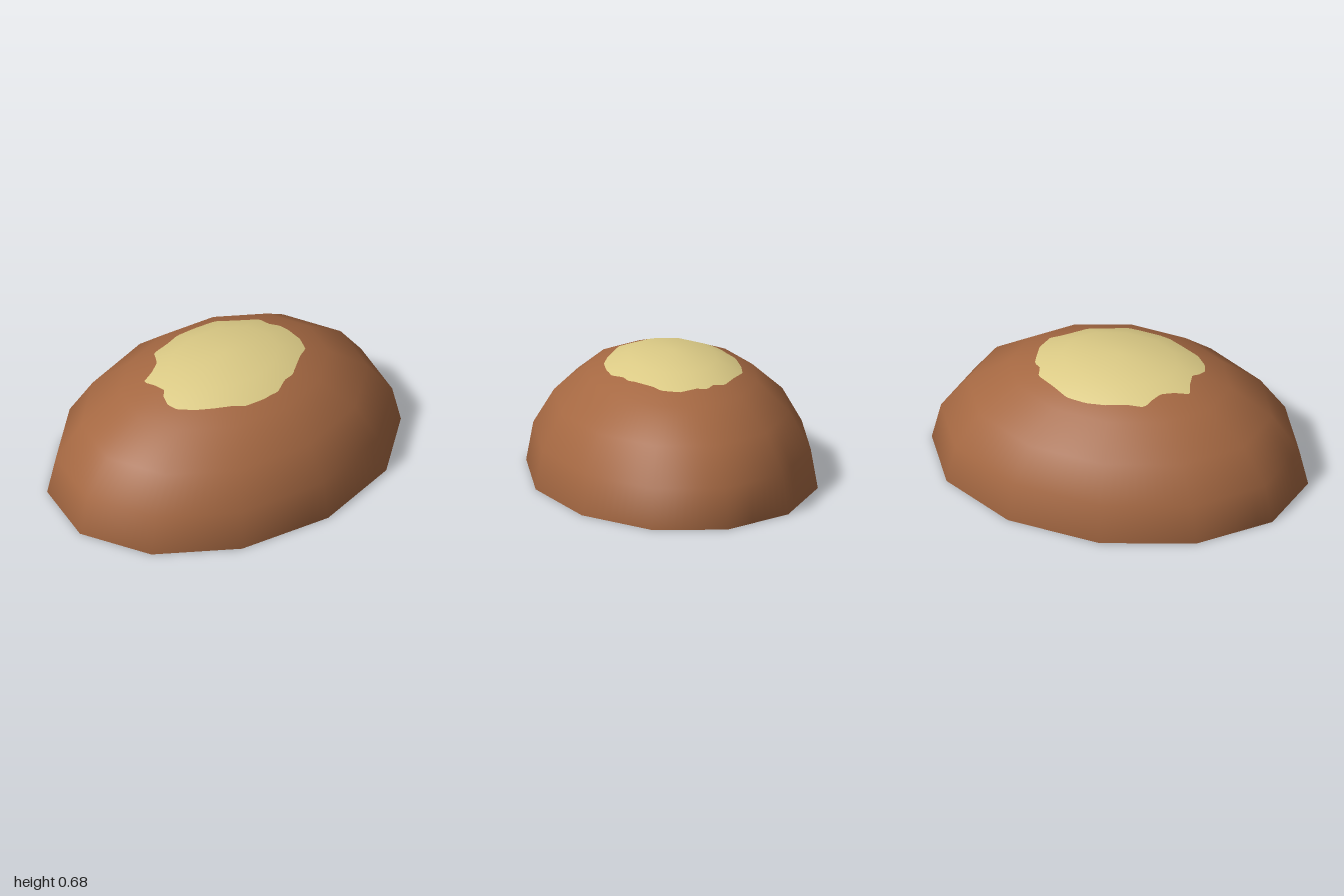
import * as THREE from 'three';

const A = 0.756, B = 1.0075, H = 0.68;      // half width, half depth, height
const SIDES = 12, PER = 10, N = SIDES * PER; // facets, samples per facet
const TURN = THREE.MathUtils.degToRad(7);

// Rings of the dome, rim to apex: radius fraction and height
const RINGS = Array.from({ length: 6 }, (_, k) => {
  const t = k * Math.PI / 10;
  return [k === 5 ? 0 : Math.cos(t), H * Math.sin(t)];
});

// Outline of the pale crown patch, x and z pairs
const PATCH = [
  0.05, -0.455, 0.14, -0.425, 0.175, -0.365, 0.23, -0.3, 0.28, -0.24, 0.295, -0.175,
  0.345, -0.095, 0.35, 0, 0.34, 0.11, 0.305, 0.185, 0.265, 0.265, 0.215, 0.355,
  0.155, 0.415, 0.095, 0.435, 0.037, 0.42, 0.01, 0.393, -0.065, 0.403, -0.13, 0.425,
  -0.16, 0.35, -0.2, 0.287, -0.305, 0.23, -0.32, 0.133, -0.35, 0.037, -0.354, -0.074,
  -0.338, -0.185, -0.27, -0.28, -0.205, -0.382, -0.14, -0.393, -0.1, -0.435, -0.02, -0.445,
];

// Direction of sample i on the twelve-sided rim
function rim(i) {
  const k = Math.floor(i / PER), f = (i % PER) / PER;
  const corner = (n) => {
    const t = TURN + n * 2 * Math.PI / SIDES;
    return new THREE.Vector2(A * Math.sin(t), B * Math.cos(t));
  };
  return corner(k).lerp(corner(k + 1), f);
}

// Height of the faceted dome at a radius fraction
function heightAt(r) {
  for (let k = 0; k < 5; k++) {
    const [r0, y0] = RINGS[k], [r1, y1] = RINGS[k + 1];
    if (r >= r1) return y0 + (y1 - y0) * (r0 - r) / (r0 - r1);
  }
  return H;
}

// Radius fraction where the patch outline crosses a rim direction
function patchRadius(i) {
  const d = rim(i);
  let best = 0.31;
  for (let j = 0; j < PATCH.length; j += 2) {
    const n = (j + 2) % PATCH.length;
    const px = PATCH[j], pz = PATCH[j + 1];
    const ex = PATCH[n] - px, ez = PATCH[n + 1] - pz;
    const det = d.x * ez - d.y * ex;
    if (Math.abs(det) < 1e-9) continue;
    const r = (px * ez - pz * ex) / det;
    const s = (px * d.y - pz * d.x) / det;
    if (r > 0 && s >= -1e-6 && s <= 1 + 1e-6) best = Math.max(best, r);
  }
  return Math.min(best, 0.58);
}

// Smooth-shaded shell through a list of rings, each a function of the sample
function shell(rings) {
  const pos = [], nor = [], idx = [];
  rings.forEach((radius, row) => {
    for (let i = 0; i <= N; i++) {
      const d = rim(i % N), r = radius(i % N), y = heightAt(r);
      pos.push(d.x * r, y, d.y * r);
      const n = new THREE.Vector3(d.x * r / (A * A), y / (H * H), d.y * r / (B * B)).normalize();
      nor.push(n.x, n.y, n.z);
      if (row === 0 || i === N) continue;
      const u = row * (N + 1) + i, l = u - N - 1;
      idx.push(l, l + 1, u + 1, l, u + 1, u);
    }
  });
  const g = new THREE.BufferGeometry();
  g.setAttribute('position', new THREE.Float32BufferAttribute(pos, 3));
  g.setAttribute('normal', new THREE.Float32BufferAttribute(nor, 3));
  g.setIndex(idx);
  return g;
}

export function createModel() {
  const material = (name, color) => {
    const m = new THREE.MeshStandardMaterial({ color, side: THREE.DoubleSide });
    m.name = name;
    return m;
  };
  const brown = material('brown', 0xa56842);
  const straw = material('straw', 0xdccb86);
  const slate = material('dark slate', 0x2c333b);

  const model = new THREE.Group();
  model.name = 'dome';
  const add = (name, geometry, mat, x = 0, y = 0, z = 0) => {
    const mesh = new THREE.Mesh(geometry, mat);
    mesh.name = name;
    mesh.position.set(x, y, z);
    model.add(mesh);
    return mesh;
  };

  // Open shell and its crown, meeting along the wavy outline
  const flat = (k) => () => RINGS[k][0];
  add('domeShell', shell([flat(0), flat(1), flat(2), flat(3), patchRadius]), brown);
  add('crownPatch', shell([patchRadius, flat(4), flat(5)]), straw);

  // Small fittings hidden under the dome
  add('innerCrossPlate', new THREE.BoxGeometry(0.45, 0.02, 0.06), slate, 0, 0.32, -0.12);
  add('innerPlate', new THREE.BoxGeometry(0.19, 0.025, 0.2), slate, 0, 0.29, 0.06);
  add('innerSpine', new THREE.BoxGeometry(0.05, 0.03, 0.26), slate, 0, 0.31, -0.02);
  add('innerBlock', new THREE.BoxGeometry(0.08, 0.03, 0.06), slate, -0.12, 0.27, 0.01);
  const rail = add('innerRail', new THREE.BoxGeometry(0.02, 0.025, 0.46), brown, -0.19, 0.22, 0);
  rail.rotation.x = 0.12;
  add('innerKnob', new THREE.IcosahedronGeometry(0.016, 1), brown, 0.25, 0.15, 0.2);

  return model;
}
